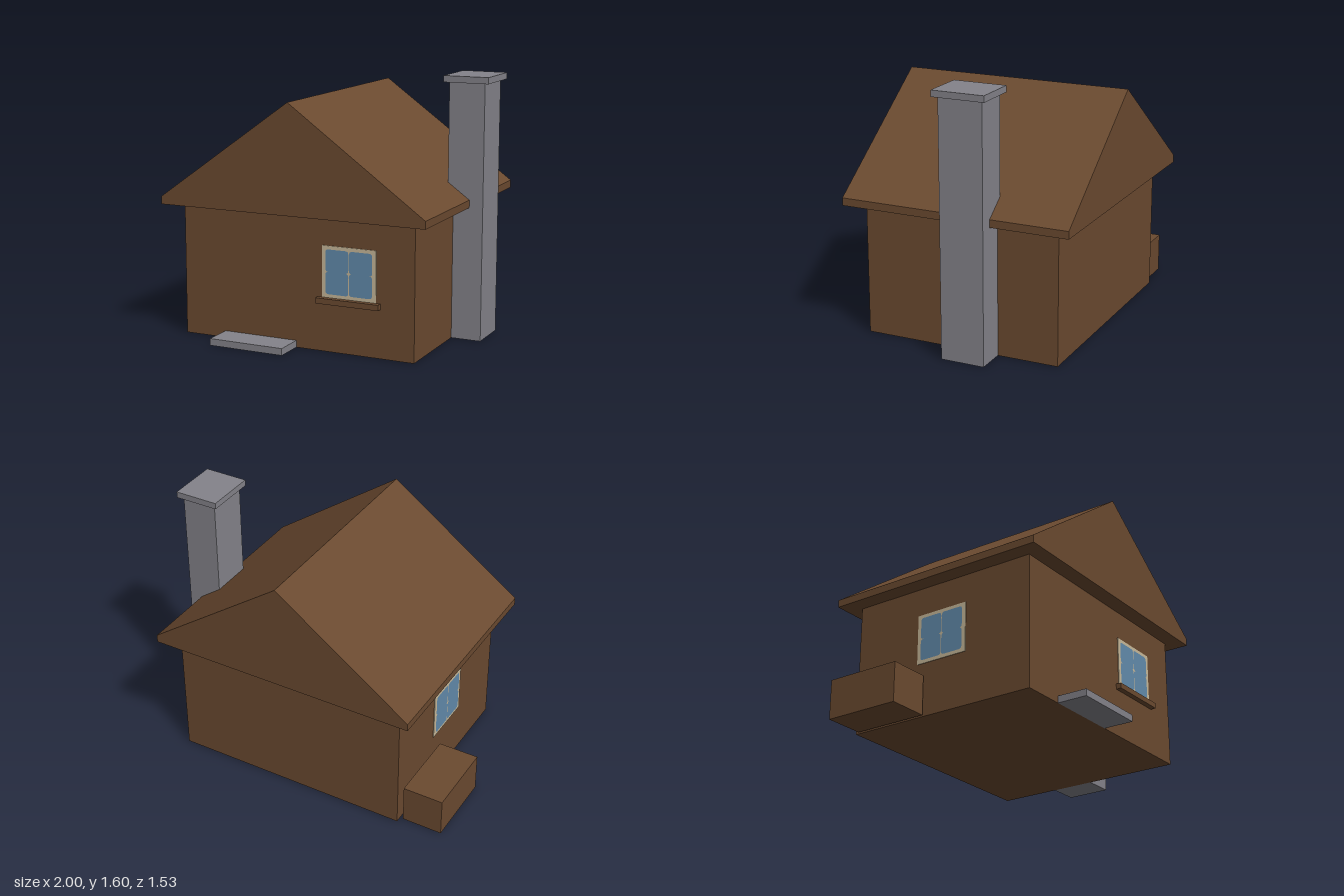
import * as THREE from 'three';

export function createModel() {
  const model = new THREE.Group();
  model.name = 'cottage';

  const mat = (name, color) => {
    const m = new THREE.MeshStandardMaterial({ color });
    m.name = name;
    return m;
  };
  const wood = mat('brown wood', 0x6b4a30);
  const stone = mat('grey stone', 0x84838a);
  const cream = mat('cream frame', 0xc8b99a);
  const blue = mat('blue glass', 0x628bac);

  const add = (parent, name, geometry, material) => {
    const mesh = new THREE.Mesh(geometry, material);
    mesh.name = name;
    parent.add(mesh);
    return mesh;
  };

  // Box given by its extents on each axis
  const block = (name, [x0, x1], [y0, y1], [z0, z1], material, parent = model) => {
    const mesh = add(parent, name, new THREE.BoxGeometry(x1 - x0, y1 - y0, z1 - z0), material);
    mesh.position.set((x0 + x1) / 2, (y0 + y1) / 2, (z0 + z1) / 2);
    return mesh;
  };

  // Walls
  const wall = { x: [-0.727, 0.783], y: [0, 0.813], z: [-0.661, 0.576] };
  block('walls', wall.x, wall.y, wall.z, wood);

  // Solid gable roof with a short upright eave
  const roofShape = new THREE.Shape([
    [-0.83, 0.813], [0.885, 0.813], [0.885, 0.86], [0.027, 1.475], [-0.83, 0.86],
  ].map(([x, y]) => new THREE.Vector2(x, y)));
  const roof = new THREE.ExtrudeGeometry(roofShape, { depth: 1.442, bevelEnabled: false });
  roof.translate(0, 0, -0.764);
  add(model, 'roof', roof, wood);

  // Chimney
  block('chimneyStack', [0.748, 0.97], [0, 1.558], [-0.282, -0.01], stone);
  block('chimneyCap', [0.721, 1], [1.558, 1.597], [-0.309, 0.017], stone);

  // Doorstep and storage box
  block('doorstep', [-0.455, 0.027], [0, 0.042], [0.576, 0.764], stone);
  block('storageBox', [-1, -0.747], [0, 0.242], [-0.624, -0.15], wood);

  // Rounded pane outline centred on (cx, cy)
  const paneShape = (cx, cy, w, h, r) => {
    const x = cx - w / 2, y = cy - h / 2;
    const s = new THREE.Shape();
    s.moveTo(x + r, y);
    s.lineTo(x + w - r, y);
    s.quadraticCurveTo(x + w, y, x + w, y + r);
    s.lineTo(x + w, y + h - r);
    s.quadraticCurveTo(x + w, y + h, x + w - r, y + h);
    s.lineTo(x + r, y + h);
    s.quadraticCurveTo(x, y + h, x, y + h - r);
    s.lineTo(x, y + r);
    s.quadraticCurveTo(x, y, x + r, y);
    return s;
  };

  // Window: thin frame plate carrying four panes, facing +z
  const makeWindow = (name) => {
    const g = new THREE.Group();
    g.name = name;
    block('windowFrame', [-0.173, 0.173], [-0.155, 0.155], [0, 0.004], cream, g);
    const w = 0.147, h = 0.134;
    for (const sx of [-1, 1]) {
      for (const sy of [-1, 1]) {
        const shape = paneShape(sx * 0.0755, sy * 0.067, w, h, 0.02);
        add(g, 'windowPane', new THREE.ShapeGeometry(shape, 5), blue).position.z = 0.006;
      }
    }
    model.add(g);
    return g;
  };

  const frontWindow = makeWindow('frontWindow');
  frontWindow.position.set(0.371, 0.484, wall.z[1]);
  block('windowSill', [0.17, 0.57], [0.294, 0.328], [0.576, 0.61], wood);

  const sideWindow = makeWindow('sideWindow');
  sideWindow.position.set(wall.x[0], 0.484, -0.04);
  sideWindow.rotation.y = -Math.PI / 2;

  return model;
}
